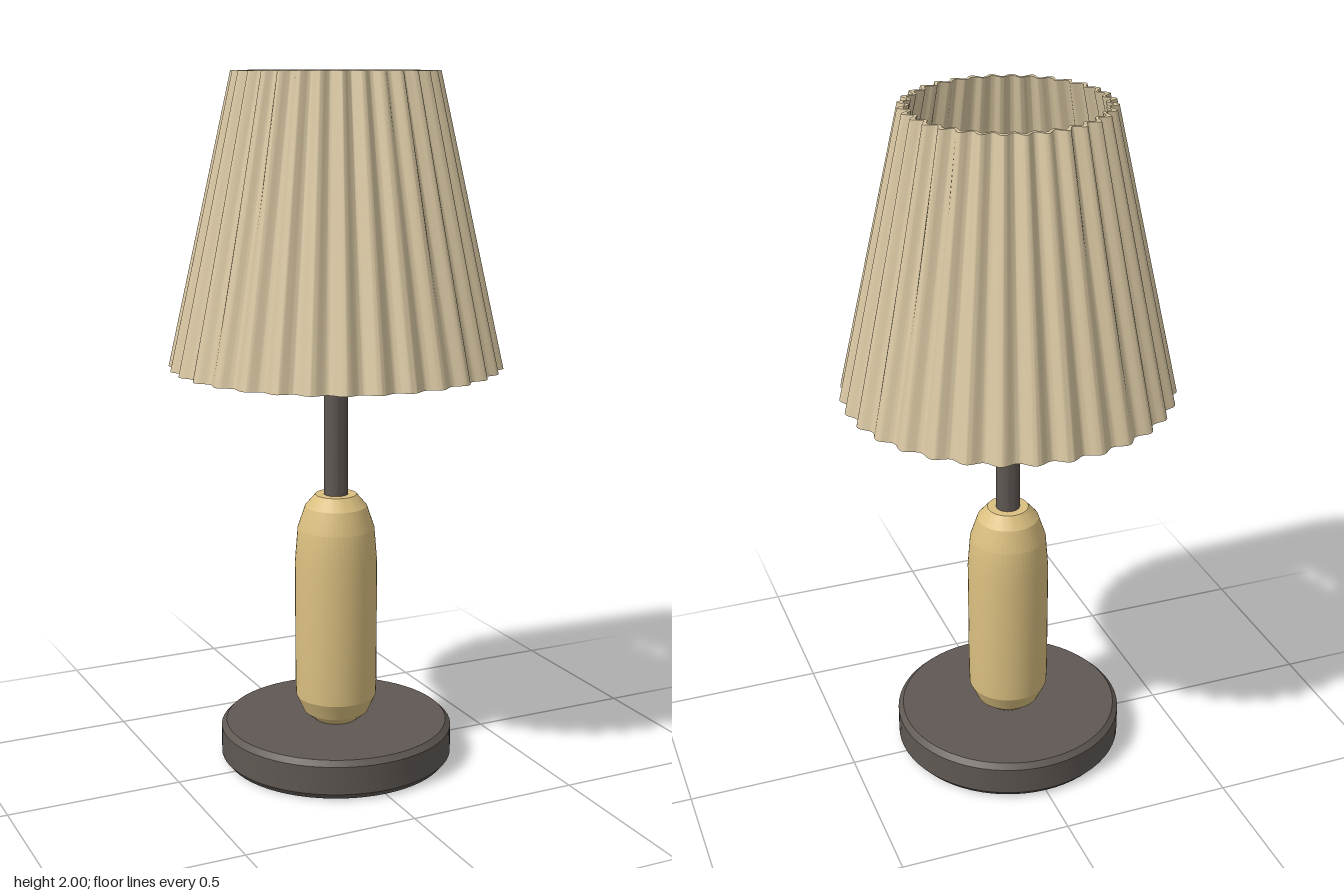
import * as THREE from 'three';
import { toCreasedNormals } from 'three/addons/utils/BufferGeometryUtils.js';

const PLEATS = 32;

export function createModel() {
  const lamp = new THREE.Group();
  lamp.name = 'tableLamp';

  const material = (name, color) => {
    const m = new THREE.MeshStandardMaterial({ color });
    m.name = name;
    return m;
  };
  const metal = material('dark metal', 0x5f5853);
  const wood = material('pale wood', 0xdabf80);
  const fabric = material('cream fabric', 0xd9c7a2);
  const glass = material('warm glass', 0xdfcba4);

  // Profiles run from the bottom up, as [radius, height]
  const lathe = (profile, segments) =>
    new THREE.LatheGeometry(profile.map(([r, y]) => new THREE.Vector2(r, y)), segments);

  const add = (name, geometry, mat, crease) => {
    const mesh = new THREE.Mesh(toCreasedNormals(geometry, crease), mat);
    mesh.name = name;
    lamp.add(mesh);
  };

  // Round foot with bevelled rims
  add('base', lathe([[0, 0], [0.325, 0], [0.34, 0.018], [0.34, 0.1], [0.325, 0.115], [0, 0.115]], 64), metal, 0.3);

  // Turned wooden body
  add('body', lathe([
    [0, 0.115], [0.065, 0.115], [0.095, 0.14], [0.118, 0.19], [0.12, 0.24],
    [0.12, 0.6], [0.112, 0.7], [0.09, 0.765], [0.06, 0.8], [0, 0.8],
  ], 48), wood, 0.25);

  // Stem and bulb holder
  add('stem', lathe([[0, 0.79], [0.035, 0.79], [0.035, 1.24], [0, 1.24]], 32), metal, 0.5);
  add('socket', lathe([[0, 1.225], [0.065, 1.225], [0.07, 1.23], [0.07, 1.34], [0, 1.34]], 32), metal, 0.5);

  // Bulb with a narrow neck
  add('bulb', lathe([
    [0.05, 1.33], [0.06, 1.36], [0.095, 1.42], [0.117, 1.48], [0.117, 1.53],
    [0.09, 1.59], [0.035, 1.625], [0, 1.63],
  ], 40), glass, 0.25);

  // Pleated shade: a closed thin wall whose radius ripples around the axis
  const shade = lathe([[0.465, 1.18], [0.278, 2], [0.265, 2], [0.452, 1.18], [0.465, 1.18]], PLEATS * 16);
  const ripple = [0.01, 0.012, 0.009, 0.007, 0.01];
  const pos = shade.attributes.position;
  for (let i = 0; i < pos.count; i++) {
    const x = pos.getX(i), z = pos.getZ(i);
    const r = Math.hypot(x, z);
    const k = 1 + ripple[i % 5] * Math.cos(PLEATS * Math.atan2(x, z)) / r;
    pos.setX(i, x * k);
    pos.setZ(i, z * k);
  }
  add('shade', shade, fabric, 0.8);

  return lamp;
}
